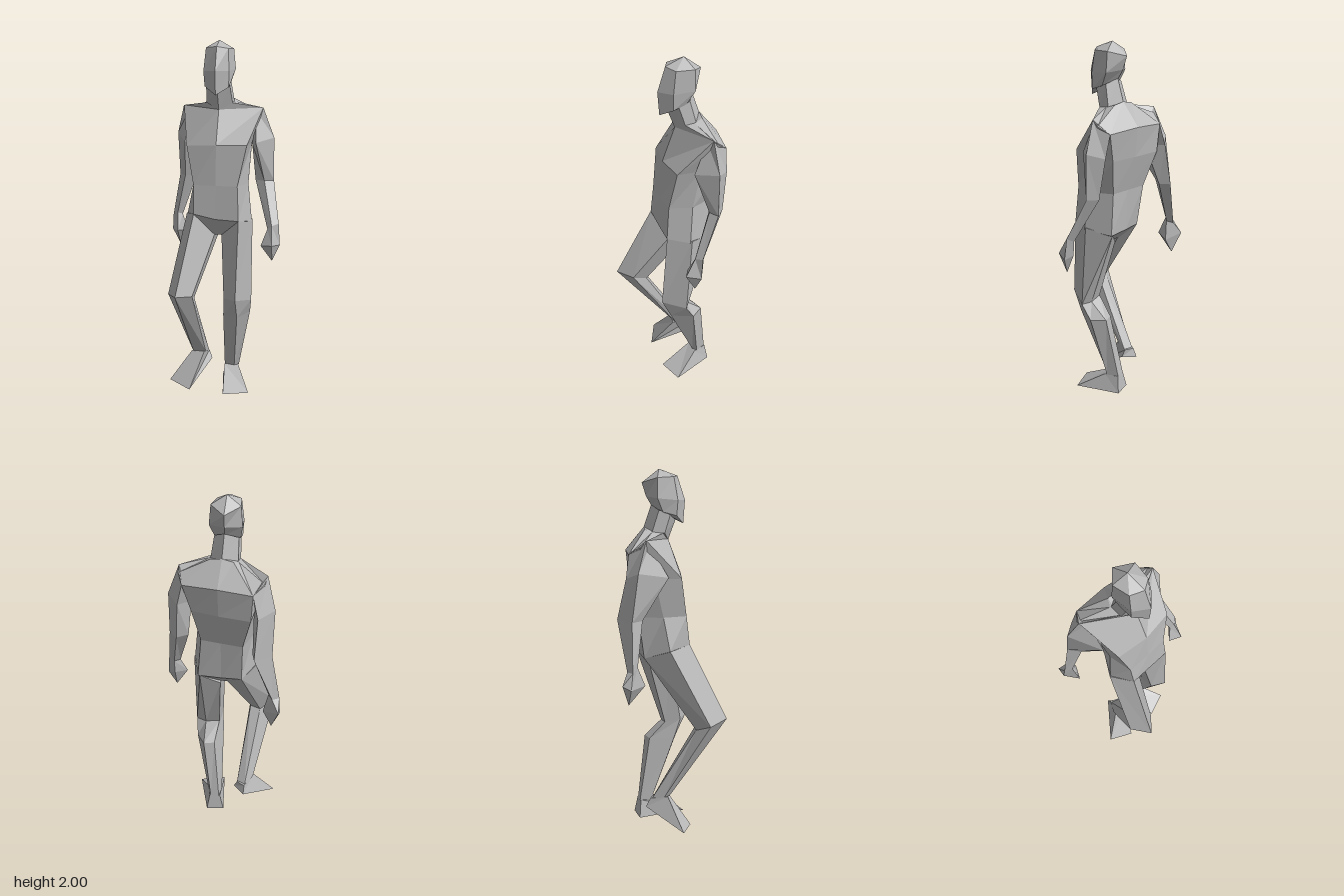
import * as THREE from 'three';

const skin = new THREE.MeshStandardMaterial({ color: 0xb8b8b8, flatShading: true });
skin.name = 'plain grey';

// Skins a stack of equal-length rings of [x, y, z] points and closes both ends.
function loft(name, rings) {
  const n = rings[0].length;
  const pts = rings.flat().map(p => new THREE.Vector3(...p));
  const faces = [];
  for (let r = 0; r < rings.length - 1; r++) {
    for (let i = 0; i < n; i++) {
      const a = r * n + i, b = r * n + (i + 1) % n;
      faces.push([a, b, b + n], [a, b + n, a + n]);
    }
  }
  const last = (rings.length - 1) * n;
  for (let i = 1; i < n - 1; i++) {
    faces.push([0, i + 1, i], [last, last + i, last + i + 1]);
  }
  // Turn the faces outward whichever way the rings run.
  let volume = 0;
  for (const [a, b, c] of faces) {
    volume += pts[a].dot(new THREE.Vector3().crossVectors(pts[b], pts[c]));
  }
  const pos = [];
  for (const [a, b, c] of faces) {
    for (const k of volume < 0 ? [a, c, b] : [a, b, c]) pos.push(pts[k].x, pts[k].y, pts[k].z);
  }
  const geo = new THREE.BufferGeometry();
  geo.setAttribute('position', new THREE.Float32BufferAttribute(pos, 3));
  geo.computeVertexNormals();
  const mesh = new THREE.Mesh(geo, skin);
  mesh.name = name;
  return mesh;
}

// A ring shrunk to a single point.
const tip = (n, p) => Array.from({ length: n }, () => p);

export function createModel() {
  const figure = new THREE.Group();
  figure.name = 'walkingFigure';

  // Head: front, left front, left back, back, right back, right front
  figure.add(loft('head', [
    [[0, 1.715, 0.083], [0.06, 1.755, 0.03], [0.06, 1.78, -0.04], [-0.005, 1.81, -0.09], [-0.075, 1.78, -0.04], [-0.07, 1.76, 0.035]],
    [[0, 1.84, 0.092], [0.062, 1.84, 0.03], [0.077, 1.85, -0.08], [-0.01, 1.86, -0.12], [-0.09, 1.85, -0.07], [-0.075, 1.84, 0.04]],
    [[0, 1.965, 0.05], [0.055, 1.955, 0.015], [0.067, 1.955, -0.08], [-0.013, 1.93, -0.143], [-0.082, 1.955, -0.07], [-0.065, 1.96, 0.02]],
    tip(6, [-0.007, 2, -0.05]),
  ]));
  figure.add(loft('neck', [
    [[0, 1.63, 0], [0.07, 1.67, -0.03], [0.07, 1.67, -0.09], [0, 1.7, -0.132], [-0.075, 1.67, -0.1], [-0.075, 1.67, -0.03]],
    [[0, 1.735, 0.04], [0.06, 1.765, 0], [0.055, 1.79, -0.06], [-0.003, 1.815, -0.092], [-0.07, 1.79, -0.06], [-0.07, 1.765, 0]],
  ]));

  // Torso: right front, front, left front, left side, left back, back, right back, right side
  figure.add(loft('torso', [
    [[-0.03, 0.94, 0.02], [0, 0.94, 0.02], [0.03, 0.94, 0.02], [0.05, 0.93, -0.03], [0.04, 0.93, -0.09], [0, 0.93, -0.09], [-0.04, 0.93, -0.09], [-0.05, 0.93, -0.03]],
    [[-0.12, 1.07, 0.1], [0, 1.045, 0.095], [0.13, 1.04, 0.095], [0.185, 1.02, -0.02], [0.13, 1, -0.165], [0, 1, -0.16], [-0.11, 1, -0.15], [-0.185, 1.05, -0.02]],
    [[-0.125, 1.23, 0.08], [0, 1.23, 0.085], [0.12, 1.23, 0.08], [0.16, 1.23, -0.04], [0.11, 1.23, -0.16], [0, 1.23, -0.17], [-0.12, 1.23, -0.18], [-0.15, 1.23, -0.05]],
    [[-0.17, 1.44, 0.045], [0, 1.45, 0.07], [0.165, 1.45, 0.05], [0.17, 1.45, -0.08], [0.15, 1.42, -0.19], [0, 1.42, -0.215], [-0.17, 1.42, -0.23], [-0.18, 1.44, -0.1]],
    [[-0.235, 1.645, -0.15], [0, 1.635, 0], [0.225, 1.64, -0.12], [0.222, 1.61, -0.15], [0.19, 1.57, -0.205], [0, 1.58, -0.232], [-0.18, 1.57, -0.237], [-0.228, 1.61, -0.18]],
    [[-0.075, 1.67, -0.04], [0, 1.635, 0], [0.07, 1.67, -0.03], [0.075, 1.675, -0.08], [0.06, 1.69, -0.125], [0, 1.7, -0.132], [-0.06, 1.69, -0.135], [-0.08, 1.675, -0.1]],
  ]));

  // Arms: front, outer, back, inner
  figure.add(loft('rightArm', [
    [[-0.2, 1.62, -0.13], [-0.237, 1.645, -0.152], [-0.18, 1.57, -0.237], [-0.15, 1.57, -0.17]],
    [[-0.2, 1.45, -0.03], [-0.287, 1.485, -0.2], [-0.21, 1.45, -0.255], [-0.17, 1.44, -0.15]],
    [[-0.24, 1.235, -0.175], [-0.287, 1.235, -0.235], [-0.205, 1.24, -0.303], [-0.185, 1.235, -0.24]],
    [[-0.3, 1, -0.21], [-0.335, 0.98, -0.24], [-0.3, 0.98, -0.265], [-0.275, 0.99, -0.235]],
  ]));
  figure.add(loft('rightHand', [
    [[-0.3, 1, -0.21], [-0.335, 0.98, -0.24], [-0.3, 0.98, -0.265], [-0.275, 0.99, -0.235]],
    [[-0.29, 0.9, -0.17], [-0.343, 0.89, -0.25], [-0.34, 0.915, -0.295], [-0.25, 0.885, -0.25]],
    tip(4, [-0.3, 0.8, -0.26]),
  ]));
  figure.add(loft('leftArm', [
    [[0.19, 1.62, -0.1], [0.225, 1.64, -0.12], [0.19, 1.57, -0.205], [0.14, 1.57, -0.13]],
    [[0.2, 1.455, -0.03], [0.287, 1.475, -0.13], [0.22, 1.45, -0.2], [0.165, 1.44, -0.12]],
    [[0.24, 1.235, -0.1], [0.29, 1.235, -0.13], [0.24, 1.235, -0.175], [0.185, 1.235, -0.13]],
    [[0.3, 1, 0], [0.335, 1.01, -0.03], [0.3, 0.99, -0.05], [0.275, 0.98, -0.01]],
  ]));
  figure.add(loft('leftHand', [
    [[0.3, 1, 0], [0.335, 1.01, -0.03], [0.3, 0.99, -0.05], [0.275, 0.98, -0.01]],
    [[0.31, 0.9, 0.055], [0.345, 0.89, -0.02], [0.3, 0.91, -0.045], [0.243, 0.89, 0.02]],
    tip(4, [0.305, 0.8, 0]),
  ]));

  // Legs: front, inner front, inner back, back, outer
  figure.add(loft('rightLeg', [
    [[-0.12, 1.07, 0.1], [-0.02, 0.94, 0.02], [-0.02, 0.92, -0.08], [-0.11, 1, -0.15], [-0.19, 1.05, -0.02]],
    [[-0.175, 0.65, 0.303], [-0.1, 0.635, 0.225], [-0.11, 0.6, 0.14], [-0.17, 0.59, 0.13], [-0.245, 0.63, 0.195]],
    [[-0.16, 0.2, -0.02], [-0.09, 0.2, -0.04], [-0.08, 0.17, -0.1], [-0.13, 0.17, -0.12], [-0.17, 0.2, -0.05]],
  ]));
  figure.add(loft('leftLeg', [
    [[0.13, 1.04, 0.095], [0.02, 0.94, 0.02], [0.02, 0.92, -0.1], [0.12, 1, -0.165], [0.187, 1.03, -0.03]],
    [[0.12, 0.59, 0.125], [0.045, 0.585, 0.08], [0.05, 0.57, -0.01], [0.13, 0.56, -0.02], [0.19, 0.56, 0]],
    [[0.12, 0.47, 0.07], [0.035, 0.47, 0.04], [0.06, 0.47, -0.1], [0.12, 0.47, -0.12], [0.175, 0.47, -0.05]],
    [[0.075, 0.1, -0.09], [0.015, 0.1, -0.1], [0.02, 0.1, -0.165], [0.07, 0.1, -0.17], [0.1, 0.1, -0.11]],
  ]));

  // Feet: inner toe, inner heel, outer heel, outer toe
  figure.add(loft('rightFoot', [
    [[-0.155, 0.01, 0.105], [-0.06, 0.135, -0.09], [-0.13, 0.13, -0.15], [-0.29, 0.03, 0.04]],
    [[-0.095, 0.2, -0.025], [-0.08, 0.18, -0.1], [-0.13, 0.18, -0.125], [-0.17, 0.2, -0.03]],
  ]));
  figure.add(loft('leftFoot', [
    [[0.045, 0, 0.1], [-0.01, 0, -0.17], [0.09, 0, -0.19], [0.187, 0, 0.05]],
    [[0.015, 0.1, -0.09], [0.015, 0.1, -0.16], [0.075, 0.1, -0.172], [0.1, 0.1, -0.095]],
  ]));

  return figure;
}
